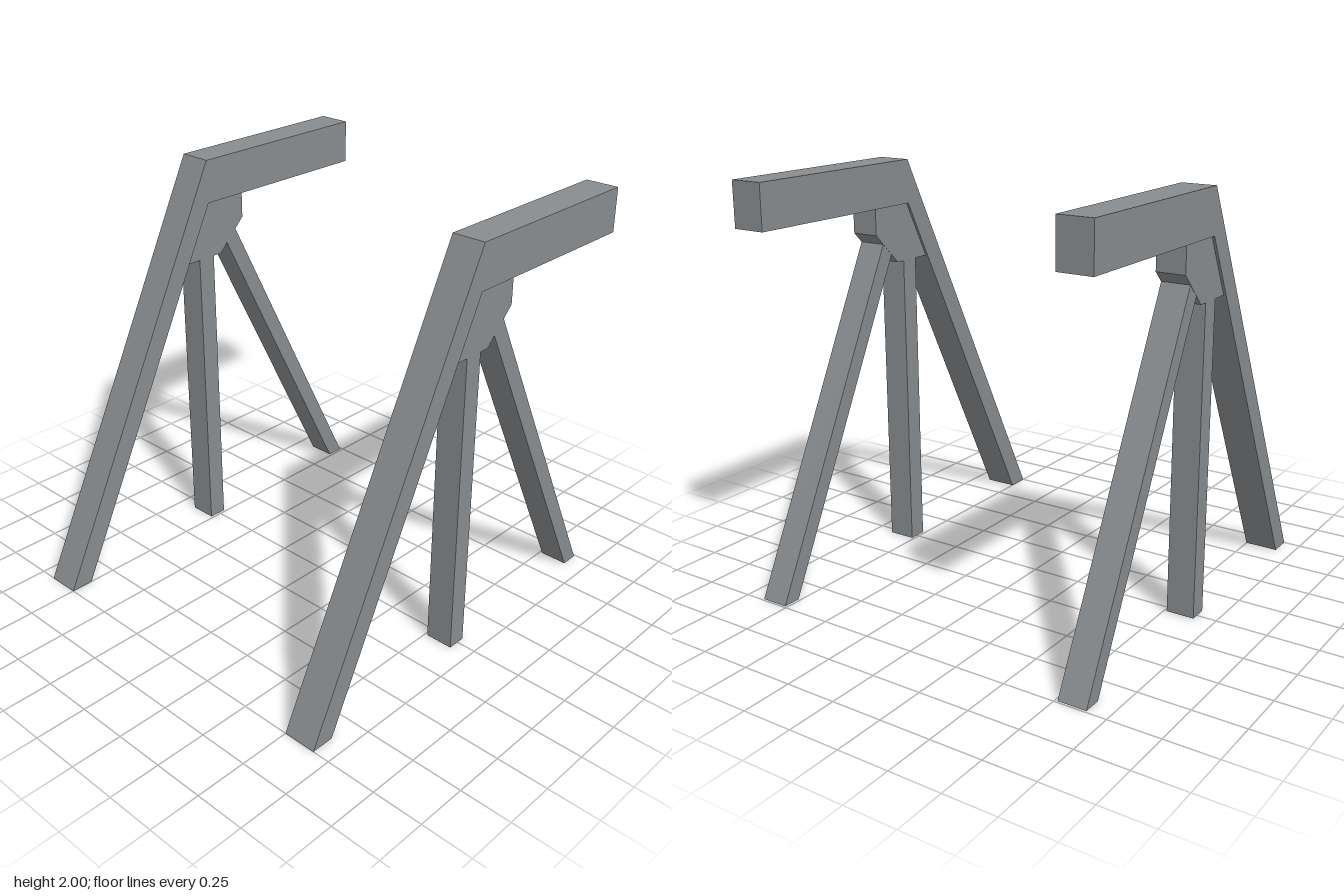
import * as THREE from 'three';

// Extrudes a [z, y] side profile to a width centred on x = 0.
function profile(name, points, width, material) {
  const shape = new THREE.Shape(points.map(([z, y]) => new THREE.Vector2(z, y)));
  const geometry = new THREE.ExtrudeGeometry(shape, { depth: width, bevelEnabled: false });
  geometry.translate(0, 0, -width / 2);
  geometry.rotateY(-Math.PI / 2);
  const mesh = new THREE.Mesh(geometry, material);
  mesh.name = name;
  return mesh;
}

function createFrame(name, material) {
  const frame = new THREE.Group();
  frame.name = name;
  frame.add(
    // Sloping front leg bent into the horizontal top beam
    profile('legAndBeam', [
      [1, 0], [-0.003, 2], [-1, 2], [-1, 1.785], [-0.005, 1.785], [0.887, 0],
    ], 0.165, material),
    // Gusset under the bend
    profile('bracket', [
      [-0.005, 1.785], [-0.24, 1.785], [-0.24, 1.655], [-0.19, 1.605],
      [-0.13, 1.545], [-0.085, 1.5], [0.14, 1.5],
    ], 0.14, material),
    // Upright support
    profile('post', [[0.055, 0], [0.055, 1.5], [-0.038, 1.5], [-0.038, 0]], 0.138, material),
    // Sloping rear support
    profile('rearStrut', [[-0.9, 0], [-0.13, 1.545], [-0.19, 1.605], [-0.99, 0]], 0.138, material),
  );
  return frame;
}

export function createModel() {
  const steel = new THREE.MeshStandardMaterial({ color: 0x888c8f });
  steel.name = 'steelGrey';
  const model = new THREE.Group();
  model.name = 'supportFrames';
  for (const [name, side] of [['leftFrame', 1], ['rightFrame', -1]]) {
    const frame = createFrame(name, steel);
    frame.position.x = side * 0.832;
    model.add(frame);
  }
  return model;
}
